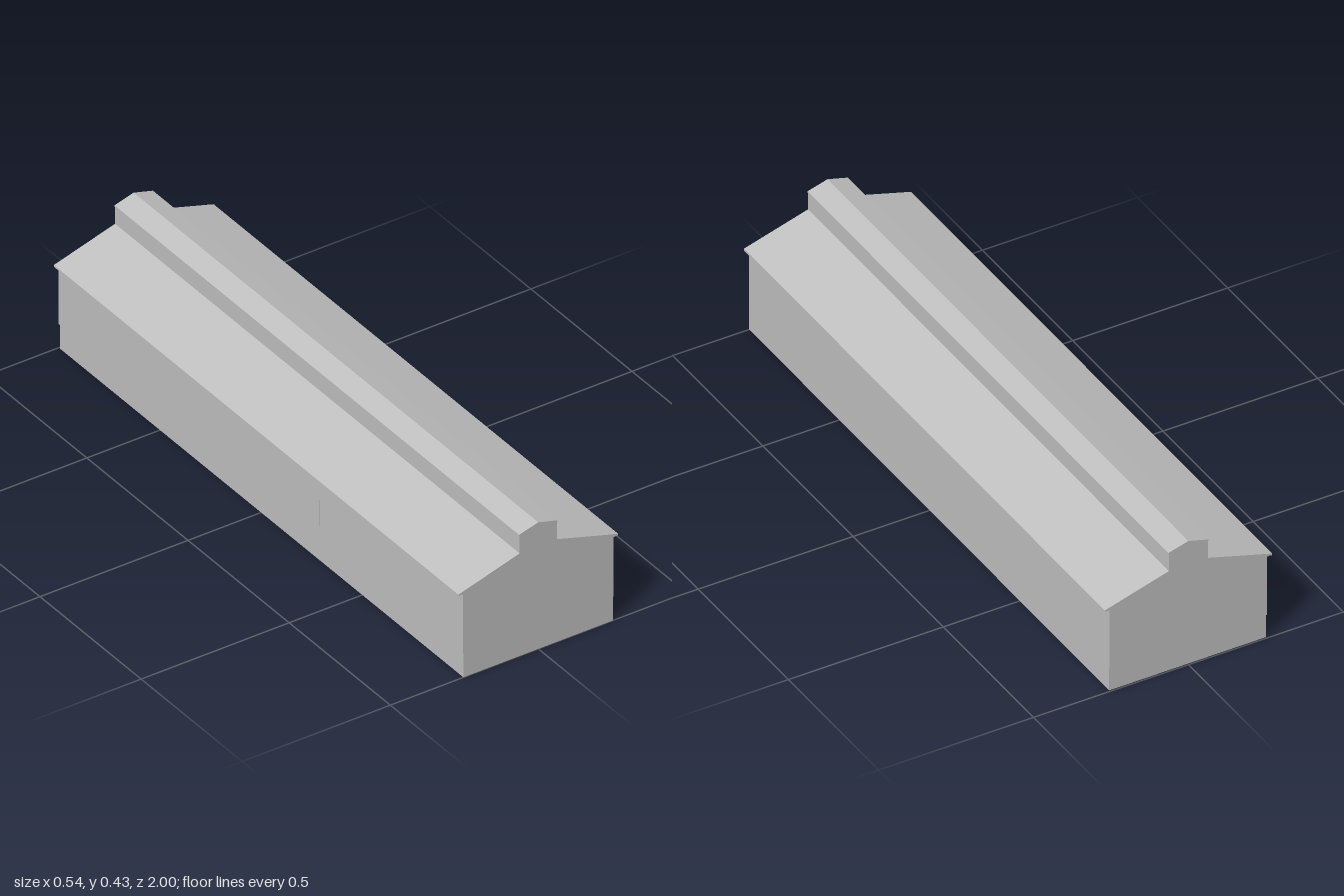
import * as THREE from 'three';

export function createModel() {
  const group = new THREE.Group();
  const grey = new THREE.MeshStandardMaterial({ color: 0xc0c0c0 });
  grey.name = 'plain grey';

  const add = (name, geometry) => {
    const mesh = new THREE.Mesh(geometry, grey);
    mesh.name = name;
    group.add(mesh);
    return mesh;
  };
  const box = (name, w, h, d, x, y, z) =>
    add(name, new THREE.BoxGeometry(w, h, d)).position.set(x, y, z);
  // Cross-section in x and y, drawn out along z
  const along = (name, points, z0 = -1, z1 = 1) => {
    const shape = new THREE.Shape(points.map(([x, y]) => new THREE.Vector2(x, y)));
    const geometry = new THREE.ExtrudeGeometry(shape, { depth: z1 - z0, bevelEnabled: false });
    add(name, geometry.translate(0, 0, z0));
  };

  const wallX = 0.254, eaveX = 0.27, ridgeX = 0.064;
  const eaveY = 0.284, slabT = 0.006, plinthY = 0.08;
  const slope = (0.344 - eaveY) / (eaveX - ridgeX);
  const roofY = (x) => eaveY + (eaveX - x) * slope;

  // Plinth, set back a little at the rear
  box('plinth', wallX * 2 - 0.002, plinthY, 1.995, 0, plinthY / 2, 0.0025);

  // Walls and gables up to the underside of the roof
  const under = (x) => roofY(x) - slabT;
  along('walls', [
    [-wallX, plinthY], [wallX, plinthY], [wallX, under(wallX)], [ridgeX, under(ridgeX)],
    [-ridgeX, under(ridgeX)], [-wallX, under(wallX)],
  ]);

  // Raised ridge with its own shallow roof
  along('ridgeMonitor', [
    [-0.063, under(ridgeX)], [0.063, under(ridgeX)], [0.063, 0.402], [0, 0.42], [-0.063, 0.402],
  ]);
  along('monitorRoof', [
    [-0.065, 0.402], [-0.063, 0.402], [0, 0.42], [0.063, 0.402], [0.065, 0.402],
    [0.065, 0.407], [0, 0.425], [-0.065, 0.407],
  ]);

  for (const side of [-1, 1]) {
    // Overhanging roof slab
    const slab = [
      [0.063, under(ridgeX)], [eaveX, under(eaveX)], [eaveX, eaveY], [0.063, roofY(0.063)],
    ].map(([x, y]) => [side * x, y]);
    along(side > 0 ? 'leftRoof' : 'rightRoof', slab);

    // Small rafter tails below the eaves
    for (let i = 0; i <= 10; i++) {
      const z = THREE.MathUtils.clamp(1 - i * 0.2, -0.993, 0.993);
      box('rafterTail', 0.008, 0.006, 0.012, side * (wallX + 0.003), 0.281, z);
    }
  }

  // Narrow wall seams
  for (const z of [-0.127, 0.29]) box('wallSeam', 0.001, 0.09, 0.003, -wallX, 0.16, z);

  return group;
}
